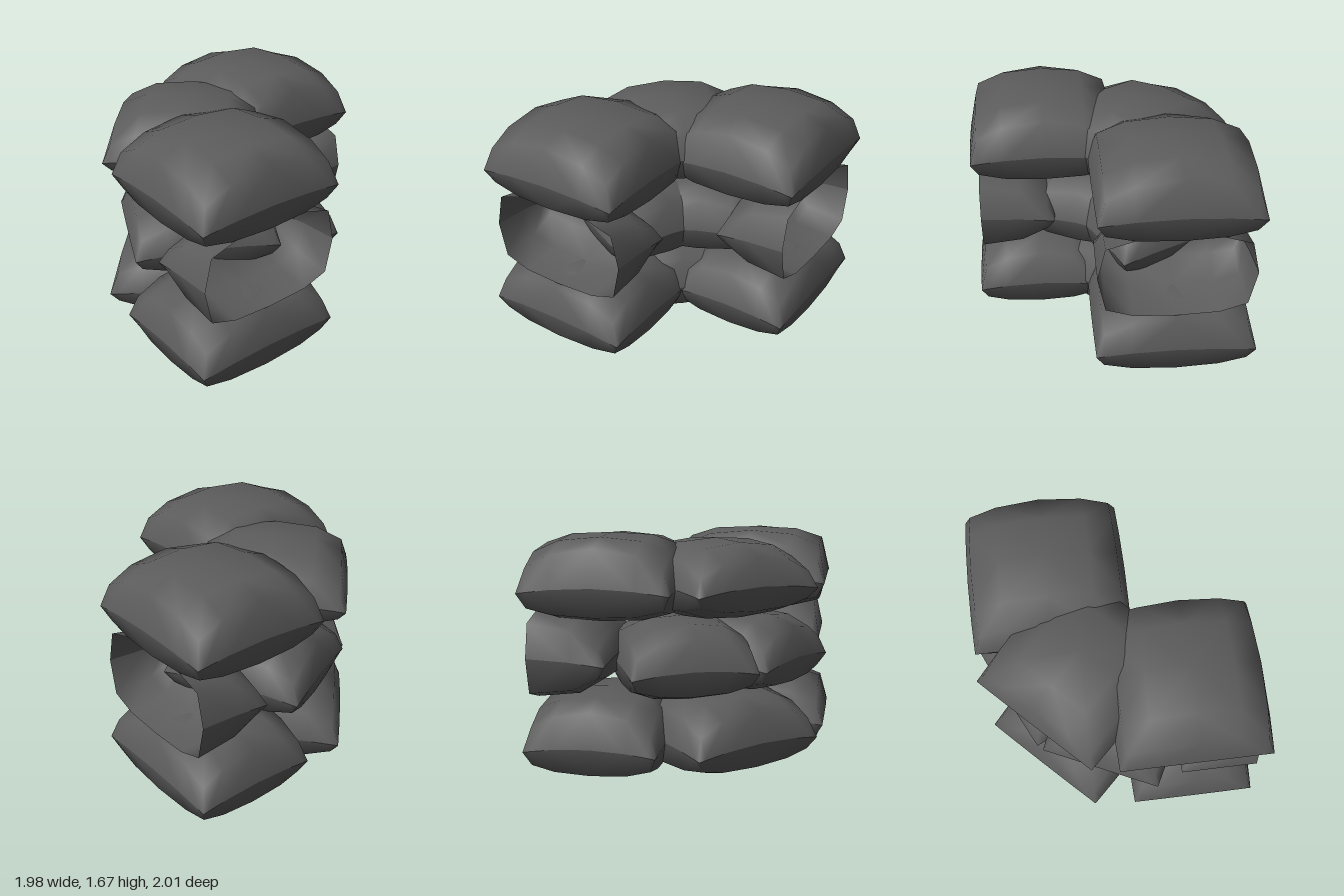
import * as THREE from 'three';
import { mergeGeometries } from 'three/addons/utils/BufferGeometryUtils.js';

// Grid lines across a bag and how full the bag is at each of them
const GRID = [-1, -0.9, -0.55, 0, 0.55, 0.9, 1];
const FILL = [0, 0.77, 0.96, 1, 0.96, 0.77, 0];

// One half of a pillow, above (sign 1) or below (sign -1) the seam.
// taper: how strongly the bag narrows along the run and across it
// columns: 7 for a whole bag, 4 for a bag cut open at its middle
function shell(halfRun, halfThick, height, sign, [taperU, taperV], columns) {
  const rows = GRID.length;
  const pos = [];
  const index = [];
  for (let i = 0; i < columns; i++) {
    for (let j = 0; j < rows; j++) {
      const u = GRID[i], v = GRID[j];
      const corner = u * u * v * v;
      const fill = FILL[i] ** taperU * FILL[j] ** taperV * (1 - 0.35 * corner);
      pos.push(
        u * (halfRun + 0.015 * (1 - v * v)),
        sign * height * fill - 0.045 * corner,
        v * (halfThick + 0.01 * (1 - u * u))
      );
      if (i < columns - 1 && j < rows - 1) {
        // Diagonals run from the middle out to the corners
        const a = i * rows + j, b = a + 1, c = a + rows, d = c + 1;
        const quad = (i < 3) === (j < 3) ? [a, b, d, a, d, c] : [a, b, c, c, b, d];
        index.push(...(sign > 0 ? quad : quad.reverse()));
      }
    }
  }
  const g = new THREE.BufferGeometry();
  g.setAttribute('position', new THREE.Float32BufferAttribute(pos, 3));
  g.setIndex(index);
  g.computeVertexNormals();
  return g;
}

export function createModel() {
  const model = new THREE.Group();
  const cloth = new THREE.MeshStandardMaterial({ color: 0x5c5c5c, side: THREE.DoubleSide });

  // Two shells meeting in a sharp seam; the run follows the wall
  function addBag(name, [x, seam, z], degrees, [halfRun, halfThick], [up, down], taper = [1, 1], columns = 7) {
    const geometry = mergeGeometries([
      shell(halfRun, halfThick, up, 1, taper, columns),
      shell(halfRun, halfThick, down, -1, taper, columns)
    ]);
    const bag = new THREE.Mesh(geometry, cloth);
    bag.name = name;
    bag.position.set(x, seam, z);
    bag.rotation.y = THREE.MathUtils.degToRad(degrees);
    model.add(bag);
  }

  // Bottom course: two whole bags and a diagonal corner bag
  addBag('bottomFrontBag', [0.515, 0.26, 0.43], 0, [0.455, 0.56], [0.31, 0.26]);
  addBag('bottomBackBag', [-0.41, 0.26, -0.52], -90, [0.46, 0.56], [0.31, 0.26]);
  addBag('bottomCornerBag', [-0.235, 0.26, 0.225], -45, [0.515, 0.53], [0.31, 0.25], [1.2, 1.2]);

  // Middle course: two bags turning the corner, two half bags open at the ends
  addBag('middleFrontCornerBag', [0.03, 0.785, 0.35], -25, [0.44, 0.51], [0.3, 0.25], [1.3, 1.2]);
  addBag('middleBackCornerBag', [-0.345, 0.785, -0.025], -65, [0.44, 0.51], [0.3, 0.25], [1.3, 1.2]);
  addBag('middleFrontHalfBag', [0.93, 0.855, 0.4], 0, [0.535, 0.53], [0.305, 0.325], [2.5, 1], 4);
  addBag('middleBackHalfBag', [-0.4, 0.855, -0.95], 90, [0.535, 0.53], [0.305, 0.325], [2.5, 1], 4);

  // Top course
  addBag('topFrontBag', [0.455, 1.34, 0.43], 0, [0.52, 0.55], [0.33, 0.26]);
  addBag('topBackBag', [-0.41, 1.34, -0.48], -90, [0.515, 0.55], [0.33, 0.26]);
  addBag('topCornerBag', [-0.24, 1.335, 0.22], -45, [0.505, 0.52], [0.295, 0.25], [1.5, 1.5]);

  return model;
}
